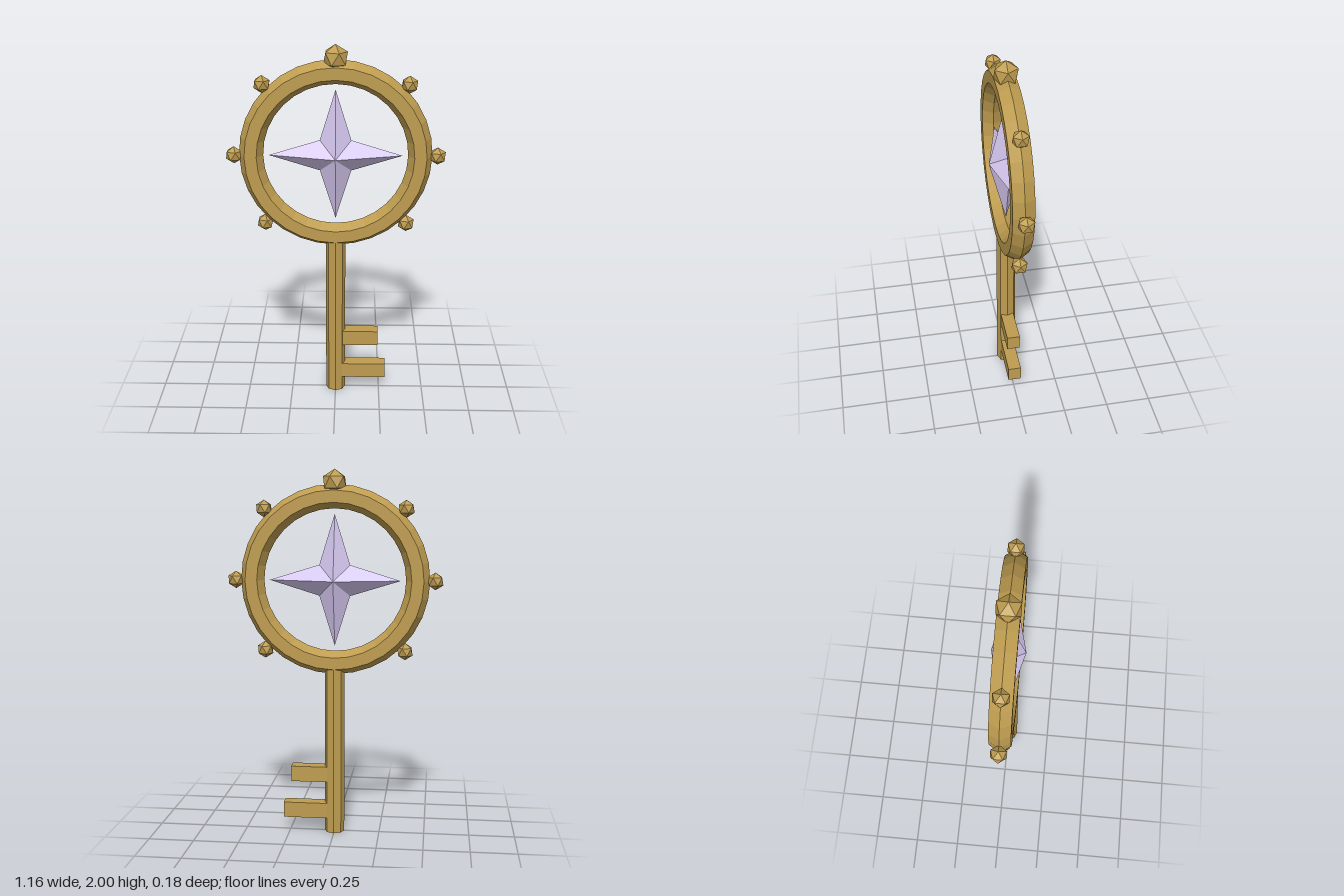
import * as THREE from 'three';

const CENTRE_Y = 1.41;

// Icosahedron with one corner pointing straight up
function gemGeometry(radius) {
  const t = (1 + Math.sqrt(5)) / 2;
  return new THREE.IcosahedronGeometry(radius, 0).rotateX(-Math.atan(t)).rotateY(Math.PI / 2);
}

// Four-pointed star: flat outline with an apex in front and behind
function starGeometry(tip, inner, depth) {
  const outline = [];
  for (let i = 0; i < 8; i++) {
    const a = (i * Math.PI) / 4;
    const r = i % 2 ? inner : tip;
    outline.push([r * Math.cos(a), r * Math.sin(a), 0]);
  }
  const corners = [];
  for (let i = 0; i < 8; i++) {
    const p = outline[i], q = outline[(i + 1) % 8];
    corners.push(...[0, 0, depth], ...p, ...q);
    corners.push(...[0, 0, -depth], ...q, ...p);
  }
  const g = new THREE.BufferGeometry();
  g.setAttribute('position', new THREE.Float32BufferAttribute(corners, 3));
  g.computeVertexNormals();
  return g;
}

export function createModel() {
  const model = new THREE.Group();
  model.name = 'key';
  const gold = new THREE.MeshStandardMaterial({ color: 0xbf9d50, flatShading: true });
  const lilac = new THREE.MeshStandardMaterial({ color: 0xd6c8f0, flatShading: true });

  const add = (name, geometry, material, x, y, z = 0) => {
    const mesh = new THREE.Mesh(geometry, material);
    mesh.name = name;
    mesh.position.set(x, y, z);
    model.add(mesh);
    return mesh;
  };

  // Bow: hexagonal-section ring
  add('ring', new THREE.TorusGeometry(0.448, 0.064, 6, 32), gold, 0, CENTRE_Y);

  // Star floating in the ring
  add('star', starGeometry(0.355, 0.118, 0.09), lilac, 0, CENTRE_Y);

  // Studs every 45 degrees, leaving the bottom for the shaft
  for (let i = -1; i <= 5; i++) {
    const a = (i * Math.PI) / 4;
    add('stud', gemGeometry(0.047), gold, 0.54 * Math.cos(a), CENTRE_Y + 0.54 * Math.sin(a));
  }
  // Larger stud crowning the ring
  add('topStud', gemGeometry(0.07), gold, 0, 1.93);

  // Octagonal shaft
  add('shaft', new THREE.CylinderGeometry(0.054, 0.054, 0.95, 8), gold, 0, 0.475);

  // Teeth: [reach, centre height]
  for (const [reach, y] of [[0.24, 0.333], [0.283, 0.123]]) {
    add('tooth', new THREE.BoxGeometry(reach, 0.086, 0.072), gold, reach / 2, y);
  }
  return model;
}
